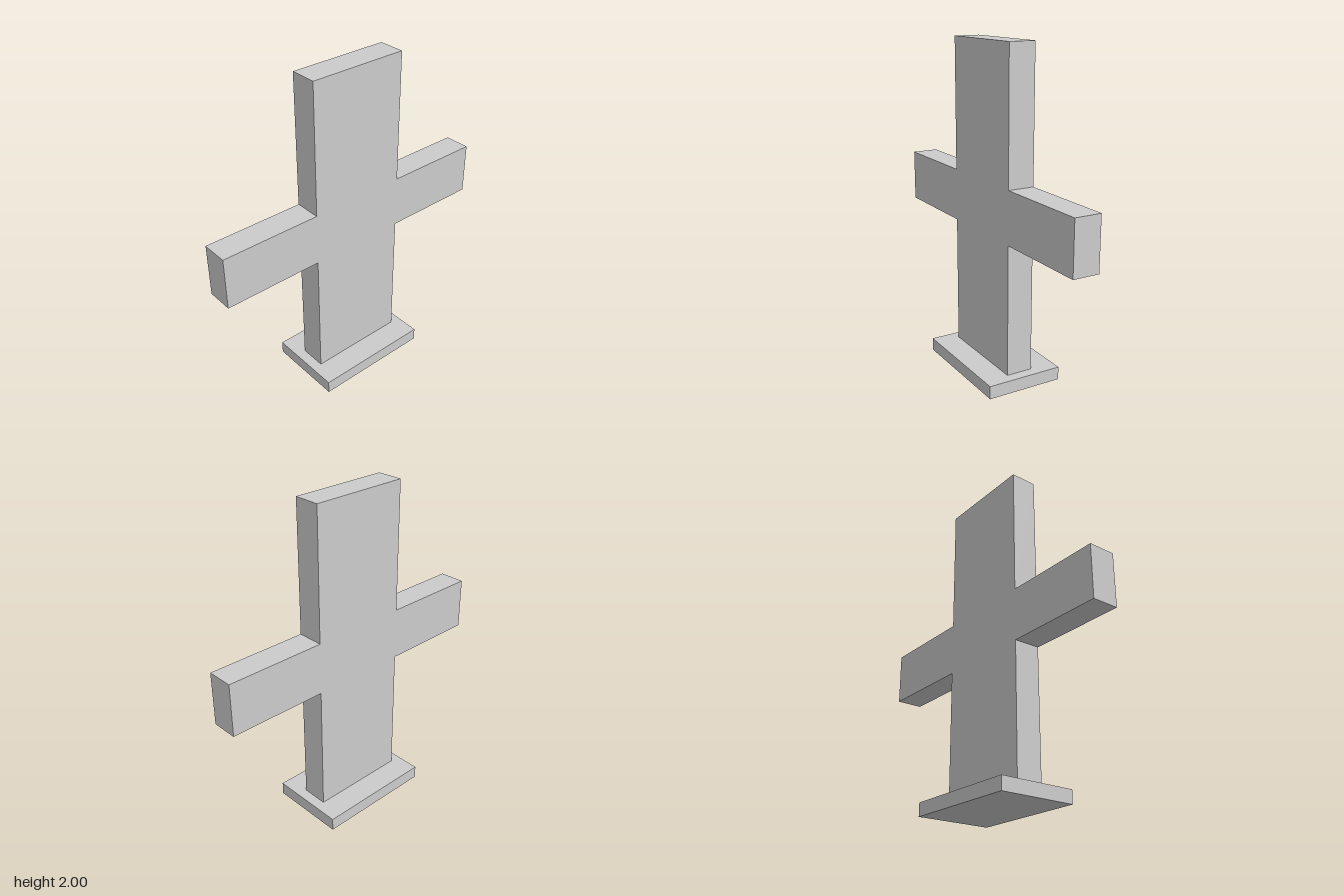
import * as THREE from 'three';

const BASE = { width: 0.74, height: 0.08, depth: 0.474 };
const CROSS = { halfWidth: 0.305, halfSpan: 0.917, armBottom: 0.88, armTop: 1.2, top: 2, depth: 0.163 };

export function createModel() {
  const group = new THREE.Group();
  const material = new THREE.MeshStandardMaterial({ color: 0xcccccc });

  // Flat plinth
  const base = new THREE.Mesh(new THREE.BoxGeometry(BASE.width, BASE.height, BASE.depth), material);
  base.name = 'base';
  base.position.y = BASE.height / 2;
  group.add(base);

  // Upright and arms as one slab: right half of the outline, mirrored
  const { halfWidth, halfSpan, armBottom, armTop, top, depth } = CROSS;
  const half = [
    [halfWidth, BASE.height],
    [halfWidth, armBottom],
    [halfSpan, armBottom],
    [halfSpan, armTop],
    [halfWidth, armTop],
    [halfWidth, top],
  ];
  const mirrored = half.map(([x, y]) => [-x, y]).reverse();
  const outline = [...half, ...mirrored].map(([x, y]) => new THREE.Vector2(x, y));
  const geometry = new THREE.ExtrudeGeometry(new THREE.Shape(outline), { depth, bevelEnabled: false });
  geometry.translate(0, 0, -depth / 2);
  const cross = new THREE.Mesh(geometry, material);
  cross.name = 'cross';
  group.add(cross);

  return group;
}
